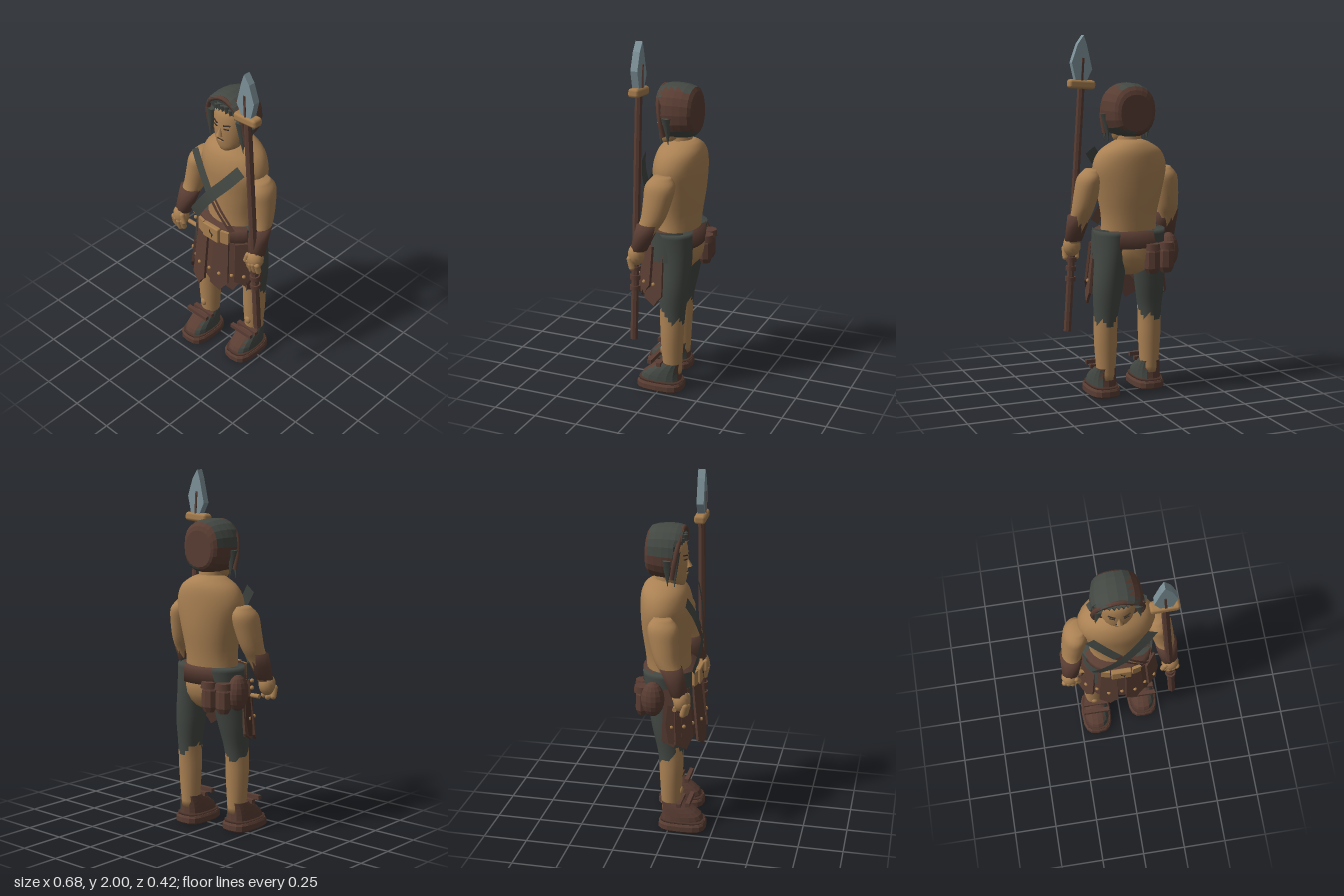
import * as THREE from 'three';
import { RoundedBoxGeometry } from 'three/addons/geometries/RoundedBoxGeometry.js';

const material = (name, color, side = THREE.FrontSide) => {
  const m = new THREE.MeshStandardMaterial({ color, side });
  m.name = name;
  return m;
};
const vectors = points => points.map(p => new THREE.Vector3(...p));
const outline = points => new THREE.Shape(points.map(p => new THREE.Vector2(...p)));

// Closed skin through rings [x, y, z, rx, rz]; p > 2 squares the rings off
function loft(rings, { n = 18, steps = 4, p = 2 } = {}) {
  const mid = new THREE.CatmullRomCurve3(vectors(rings.map(r => r.slice(0, 3))), false, 'catmullrom');
  const rad = new THREE.CatmullRomCurve3(vectors(rings.map(r => [r[3], 0, r[4]])), false, 'catmullrom');
  const rows = (rings.length - 1) * steps, pos = [], idx = [];
  const pw = v => Math.sign(v) * Math.abs(v) ** (2 / p);
  for (let i = 0; i <= rows; i++) {
    const c = mid.getPoint(i / rows), r = rad.getPoint(i / rows);
    for (let j = 0; j < n; j++) {
      const a = j / n * Math.PI * 2;
      pos.push(c.x + r.x * pw(Math.sin(a)), c.y, c.z + r.z * pw(Math.cos(a)));
    }
  }
  for (let i = 0; i < rows; i++) for (let j = 0; j < n; j++) {
    const a = i * n + j, b = i * n + (j + 1) % n;
    idx.push(a, b, b + n, a, b + n, a + n);
  }
  const lo = pos.length / 3, top = rows * n, f = rings[0], l = rings[rings.length - 1];
  pos.push(f[0], f[1], f[2], l[0], l[1], l[2]);
  for (let j = 0; j < n; j++) {
    const k = (j + 1) % n;
    idx.push(lo, k, j, lo + 1, top + j, top + k);
  }
  return surface(pos, idx);
}

function surface(pos, idx) {
  const g = new THREE.BufferGeometry();
  g.setAttribute('position', new THREE.Float32BufferAttribute(pos, 3));
  g.setIndex(idx);
  g.computeVertexNormals();
  return g;
}

// Sort triangles into material groups by their centre
function paint(g, count, pick) {
  const sets = Array.from({ length: count }, () => []), q = g.attributes.position, ix = g.index.array;
  for (let t = 0; t < ix.length; t += 3) {
    const c = new THREE.Vector3();
    for (let k = 0; k < 3; k++) c.add(new THREE.Vector3().fromBufferAttribute(q, ix[t + k]));
    sets[pick(c.divideScalar(3))].push(ix[t], ix[t + 1], ix[t + 2]);
  }
  let start = 0;
  sets.forEach((s, i) => { g.addGroup(start, s.length, i); start += s.length; });
  g.setIndex(sets.flat());
  return g;
}

const faceted = g => {
  const f = g.index ? g.toNonIndexed() : g;
  f.computeVertexNormals();
  return f;
};

// Flat band following a path, widened across its direction in the xy plane
function band(points, width) {
  const c = new THREE.CatmullRomCurve3(vectors(points)), pos = [], idx = [];
  for (let i = 0; i <= 16; i++) {
    const p = c.getPoint(i / 16), t = c.getTangent(i / 16);
    const w = new THREE.Vector3(-t.y, t.x, 0).normalize().multiplyScalar(width / 2);
    pos.push(p.x + w.x, p.y + w.y, p.z, p.x - w.x, p.y - w.y, p.z);
    if (i < 16) idx.push(2 * i, 2 * i + 1, 2 * i + 3, 2 * i, 2 * i + 3, 2 * i + 2);
  }
  return surface(pos, idx);
}

export function createModel() {
  const model = new THREE.Group();
  const skin = material('skin', 0xaa8153);
  const leather = material('leather', 0x593d33, THREE.DoubleSide);
  const darkLeather = material('dark leather', 0x4b332a);
  const cloth = material('dark cloth', 0x434843, THREE.DoubleSide);
  const brass = material('brass', 0xa67d4e);
  const steel = material('steel', 0x7d9299);
  const ink = material('ink', 0x3a302a);
  const add = (name, geo, mat, pos = [0, 0, 0], rot = [0, 0, 0], parent = model) => {
    const m = new THREE.Mesh(geo, mat);
    m.name = name;
    m.position.set(...pos);
    m.rotation.set(...rot);
    parent.add(m);
    return m;
  };
  const box = (x, y, z) => new THREE.BoxGeometry(x, y, z);
  const ball = (x, y, z) => new THREE.SphereGeometry(1, 14, 10).scale(x, y, z);
  const cyl = (a, b, h, n = 8) => new THREE.CylinderGeometry(a, b, h, n);

  // Body
  add('torso', loft([[0, .86, -.03, .165, .12], [0, 1, -.04, .158, .124], [0, 1.15, -.048, .187, .136],
    [0, 1.28, -.048, .212, .142], [0, 1.37, -.055, .18, .13], [0, 1.42, -.06, .11, .1], [0, 1.44, -.055, .06, .07]], { n: 24 }), skin);
  add('pelvis', ball(.17, .15, .135), skin, [0, .83, -.045]);
  add('neck', cyl(.06, .075, .14, 14), skin, [0, 1.44, -.045]);

  // Head and face
  add('head', loft([[0, 1.41, .012, .045, .04], [0, 1.45, -.005, .08, .068], [0, 1.54, -.015, .098, .084],
    [0, 1.64, -.02, .092, .08], [0, 1.69, -.03, .045, .045]], { n: 20 }), skin);
  add('nose', new THREE.ConeGeometry(.018, .06, 6), skin, [0, 1.54, .07], [-.25, 0, 0]);
  add('mouth', box(.042, .005, .006), ink, [0, 1.485, .067]);
  add('lip', ball(.02, .006, .008), skin, [0, 1.475, .064]);
  for (const s of [-1, 1]) {
    add('eye', box(.03, .006, .006), ink, [s * .038, 1.56, .063], [0, s * .4, 0]);
    add('brow', box(.04, .006, .008), ink, [s * .04, 1.583, .061], [0, s * .4, s * .15]);
    add('sideLock', new THREE.ConeGeometry(.032, .2, 5), cloth, [s * .114, 1.52, .02], [Math.PI, 0, s * -.08]);
    add('lockTip', new THREE.ConeGeometry(.03, .16, 5), cloth, [s * .122, 1.5, -.02], [Math.PI, 0, s * .12]);
  }
  for (let i = -3; i <= 3; i++)
    add('fringe', new THREE.ConeGeometry(.02, .06 + (i & 1) * .02, 4), cloth, [i * .024, 1.66 - Math.abs(i) * .006, .048 - i * i * .002], [Math.PI, 0, 0]);

  // Hood-like hair, lofted front to back
  const hair = loft([[0, -.152, -1.585, .09, .1], [0, -.13, -1.595, .12, .135], [0, -.05, -1.595, .14, .15],
    [0, .02, -1.593, .14, .15], [0, .055, -1.59, .125, .142]], { n: 20, steps: 2, p: 2.25 }).rotateX(Math.PI / 2);
  // Keep the hood open around the face
  const hp = hair.attributes.position;
  for (let i = 0; i < hp.count; i++) if (hp.getY(i) < 1.665 && hp.getZ(i) > .01) hp.setZ(i, .014);
  add('hair', faceted(paint(hair, 2, c => (c.x < .07 && c.y > 1.6 && c.z > -.13) || c.z > .03 || (c.x > 0 && c.y < 1.5) ? 0 : 1)), [cloth, leather]);
  const rimPath = vectors([[-.125, 1.47, .005], [-.132, 1.57, .022], [-.1, 1.675, .04], [0, 1.728, .045],
    [.1, 1.675, .04], [.132, 1.57, .022], [.125, 1.47, .005]]);
  add('hairRim', new THREE.TubeGeometry(new THREE.CatmullRomCurve3(rimPath), 24, .014, 6), leather);

  for (const s of [-1, 1]) {
    const side = s > 0 ? 'left' : 'right', dz = s > 0 ? 0 : .065;

    // Arm, bracer and hand
    add(side + 'Arm', loft([[s * .28, .86, .08, .036, .038], [s * .268, .97, .045, .05, .057], [s * .255, 1.05, .008, .06, .068],
      [s * .238, 1.15, -.012, .068, .08], [s * .225, 1.23, -.022, .066, .084], [s * .213, 1.28, -.028, .038, .048]]), skin);
    add(side + 'Bracer', loft([[s * .283, .87, .08, .048, .048], [s * .273, .95, .055, .058, .058], [s * .267, 1.02, .03, .064, .066]],
      { n: 10, steps: 1 }), leather);
    add(side + 'Palm', ball(.05, .062, .046), skin, [s * .287, .84, .095]);
    for (let i = 0; i < 4; i++)
      add(side + 'Finger', new THREE.CapsuleGeometry(.017, .05, 3, 8), skin, [s * (.256 + i * .022), .798 - (i === 1 ? .01 : 0), .122 - Math.abs(i - 1.5) * .006], [.25, 0, 0]);
    add(side + 'Thumb', new THREE.CapsuleGeometry(.016, .045, 3, 8), skin, [s * .248, .84, .12], [0, 0, s * -.3]);

    // Leg, with ragged trouser hem hanging lower behind
    const leg = loft([[s * .145, .1, -.06 + dz, .05, .052], [s * .147, .3, -.058 + dz, .064, .064], [s * .146, .46, -.06 + dz, .067, .072],
      [s * .135, .62, -.065 + dz * .7, .084, .084], [s * .115, .8, -.06 + dz * .3, .09, .1], [s * .105, .94, -.045, .1, .115]], { n: 20, steps: 6 });
    add(side + 'Leg', paint(leg, 2, c => c.y > .46 + .55 * (c.z + .06 - dz) + .025 * Math.sin(c.x * 70 + c.z * 45) ? 1 : 0), [skin, cloth]);
    add(side + 'ShinKnob', ball(.02, .027, .014), skin, [s * .15, .23, -.002 + dz]);

    // Boot
    const boot = new THREE.Group();
    boot.name = side + 'Boot';
    boot.position.set(s * .148, 0, .008 + dz);
    model.add(boot);
    add('sole', faceted(loft([[0, 0, 0, .08, .125], [0, .01, 0, .09, .137], [0, .038, 0, .09, .137], [0, .05, 0, .083, .13]],
      { n: 16, steps: 1, p: 3 })), leather, [0, 0, 0], [0, 0, 0], boot);
    add('welt', loft([[0, .045, 0, .079, .128], [0, .062, 0, .079, .128]], { n: 16, steps: 1, p: 3 }), darkLeather, [0, 0, 0], [0, 0, 0], boot);
    const upper = loft([[0, .05, 0, .075, .122], [0, .09, -.006, .073, .112], [0, .135, -.035, .066, .082], [0, .165, -.062, .057, .058]], { n: 16, steps: 2, p: 2.5 });
    add('upper', faceted(paint(upper, 2, c => c.x > .04 ? 1 : 0)), [leather, cloth], [0, 0, 0], [0, 0, 0], boot);
    add('frontTie', box(.155, .024, .024), leather, [0, .175, .042], [0, 0, 0], boot);
    add('backTie', box(.145, .022, .024), leather, [0, .163, -.01], [0, 0, 0], boot);
  }

  // Belt, hip cloth and buckle
  add('belt', loft([[0, .845, -.02, .192, .158], [0, .94, -.025, .188, .152]], { n: 24, steps: 1, p: 2.2 }), leather);
  add('rightHipCloth', new THREE.CylinderGeometry(.2, .215, .22, 8, 1, true, -1.35, .65).scale(1, 1, .85), cloth, [0, .84, -.012]);
  add('leftHipCloth', new THREE.CylinderGeometry(.2, .21, .17, 10, 1, true, 1.15, 1.1).scale(1, 1, .85), cloth, [0, .865, -.02]);
  add('buckle', new RoundedBoxGeometry(.115, .095, .03, 2, .008), brass, [0, .895, .14]);
  for (const s of [-1, 1]) add('bucklePlate', box(.05, .08, .016), brass, [s * .088, .895, .128], [0, s * .25, 0]);
  const mark = outline([[-.012, .03], [.002, .005], [.016, .002], [.008, -.03], [.004, -.004], [-.008, .002]]);
  add('buckleMark', new THREE.ExtrudeGeometry(mark, { depth: .004, bevelEnabled: false }), ink, [.005, .895, .153]);

  // Skirt of overlapping pointed leather strips with studs
  for (let i = 0; i < 9; i++) {
    const a = (i - 4) * .36, len = .31 + .04 * Math.sin(i * 2.6) - i * .004;
    const shape = outline([[-.046, 0], [.046, 0], [.056, -len + .04], [.03, -len + .01], [.01, -len - .025], [-.056, -len + .015]]);
    const strip = new THREE.Group();
    strip.name = 'skirtStrip';
    strip.position.set(.182 * Math.sin(a), .86, .002 + .122 * Math.cos(a));
    strip.rotation.set(-.11, Math.atan2(Math.sin(a) / .182, Math.cos(a) / .125), 0, 'YXZ');
    model.add(strip);
    add('strip', new THREE.ExtrudeGeometry(shape, { depth: .014, bevelEnabled: false }), leather, [0, 0, i % 2 * .01], [0, 0, 0], strip);
    add('stud', ball(.011, .011, .01), brass, [0, -.215, .016 + i % 2 * .01], [0, 0, 0], strip);
  }

  // Crossed chest straps
  add('upperStrap', band([[.175, 1.37, .095], [.1, 1.27, .13], [0, 1.15, .158], [-.08, 1.04, .15], [-.145, .95, .13]], .066), cloth);
  add('lowerStrapTop', band([[-.165, 1.36, .095], [-.1, 1.28, .12], [-.02, 1.17, .14]], .062), cloth);
  add('lowerStrapEnd', band([[-.02, 1.17, .14], [.06, 1.07, .142], [.14, .96, .125]], .055), leather);
  add('strapEdge', band([[.005, 1.155, .145], [.065, 1.075, .147], [.12, 1.0, .136]], .012), skin);

  // Pouches, flask and knife on the belt
  for (const x of [-.09, -.18]) {
    const z = x < -.1 ? -.15 : -.163;
    add('pouch', faceted(loft([[x, .7, z, .03, .025], [x, .73, z, .047, .038], [x, .82, z, .045, .036], [x, .84, z, .03, .028]], { n: 8, steps: 1 })), leather);
    add('pouchLid', cyl(.043, .048, .035, 8), leather, [x, .85, z]);
  }
  add('flask', faceted(ball(.055, .1, .065)), leather, [-.225, .81, -.08]);
  add('sheath', box(.035, .22, .06), darkLeather, [-.205, .66, .02], [.1, 0, -.08]);
  add('knifeGrip', cyl(.013, .013, .07), brass, [-.235, .775, .05], [0, 0, Math.PI / 2]);
  for (const y of [.82, .86]) add('sheathStud', ball(.012, .012, .012), brass, [-.225, y, .04]);

  // Spear, leaning slightly
  const spear = new THREE.Group();
  spear.name = 'spear';
  spear.position.set(.27, 1.04, .1);
  spear.rotation.z = .066;
  model.add(spear);
  const part = (name, geo, mat, pos) => add(name, geo, mat, pos, [0, 0, 0], spear);
  part('shaft', faceted(cyl(.021, .022, 1.38)), leather, [0, 0, 0]);
  for (const y of [-.28, -.33, -.39]) part('gripRing', cyl(.031, .031, .025), leather, [0, y, 0]);
  part('crossGuard', new RoundedBoxGeometry(.155, .05, .064, 1, .016), brass, [0, .695, 0]);
  const blade = outline([[-.022, .71], [.038, .71], [.068, .81], [.04, .91], [.008, .962], [-.012, .915], [-.053, .78]]);
  part('blade', new THREE.ExtrudeGeometry(blade, { depth: .04, bevelEnabled: false }), steel, [0, 0, -.02]);
  part('bladeRib', box(.012, .13, .05), leather, [.004, .775, 0]);
  return model;
}
